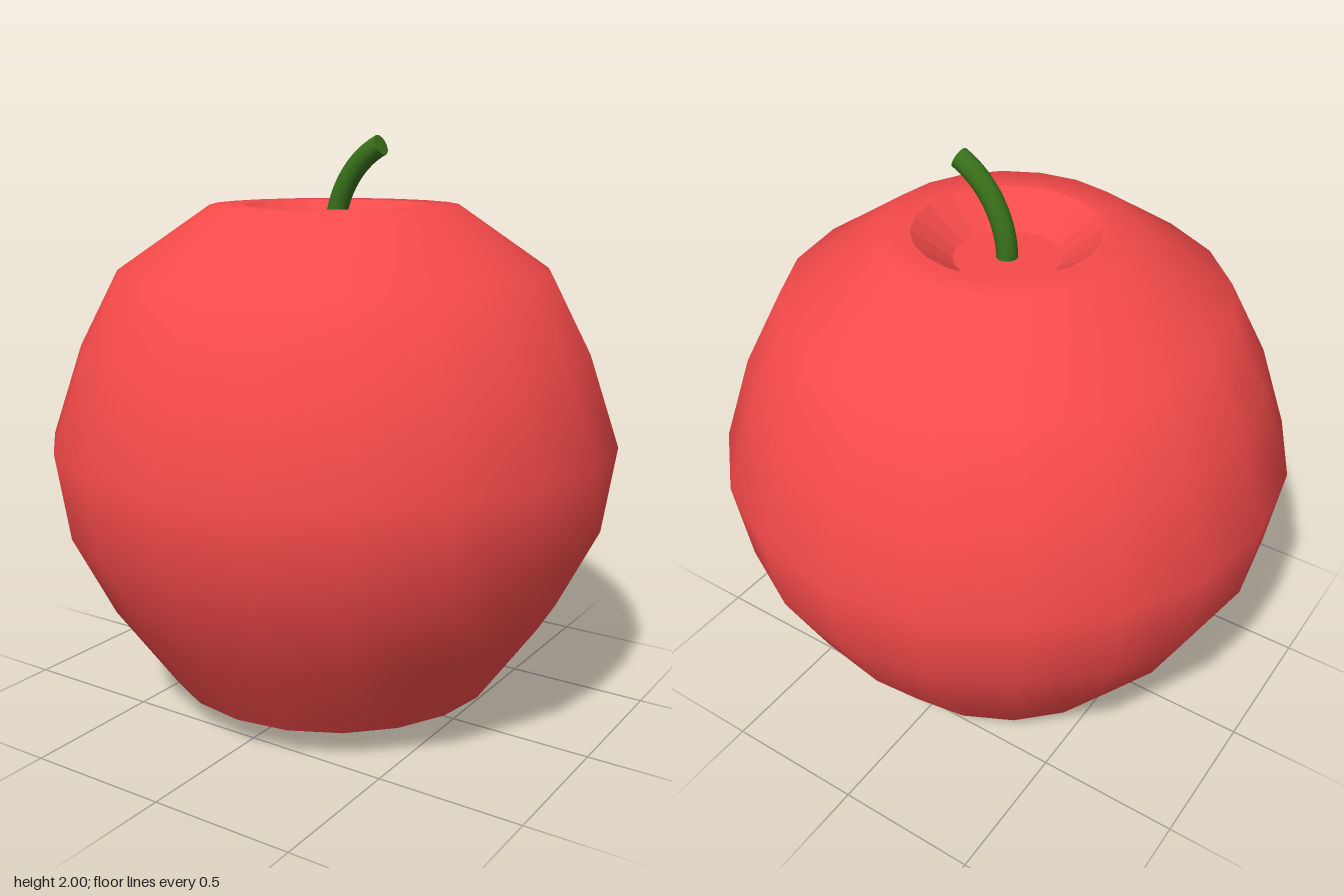
import * as THREE from 'three';

const SIDES = 20;

// Lathe from [radius, height] pairs, listed from the bottom up
function lathe(name, points, material, sides = SIDES) {
  const profile = points.map(([r, y]) => new THREE.Vector2(r, y));
  const mesh = new THREE.Mesh(new THREE.LatheGeometry(profile, sides), material);
  mesh.name = name;
  return mesh;
}

// Flat disc facing up or down
function disc(name, radius, y, up, material) {
  const mesh = new THREE.Mesh(new THREE.CircleGeometry(radius, 40), material);
  mesh.rotation.x = up ? -Math.PI / 2 : Math.PI / 2;
  mesh.position.y = y;
  mesh.name = name;
  return mesh;
}

export function createModel() {
  const model = new THREE.Group();
  model.name = 'apple';
  const skin = new THREE.MeshStandardMaterial({ color: 0xf64a4a });
  const facetedSkin = new THREE.MeshStandardMaterial({ color: 0xf64a4a, flatShading: true });
  const green = new THREE.MeshStandardMaterial({ color: 0x38701a });

  // Underside: flat foot and faceted bevel
  model.add(lathe('base', [[0.17, 0.005], [0.32, 0.01], [0.59, 0.105]], facetedSkin));
  model.add(disc('foot', 0.18, 0, false, skin));

  // Smooth outer skin up to the rim of the dimple
  model.add(lathe('body', [
    [0.59, 0.105], [0.8, 0.4], [0.94, 0.68], [0.985, 0.98],
    [0.88, 1.29], [0.745, 1.55], [0.425, 1.77], [0.31, 1.77],
  ], skin));

  // Dimple around the stem
  model.add(lathe('dimpleWall', [[0.31, 1.77], [0.17, 1.665]], facetedSkin));
  model.add(disc('dimpleFloor', 0.18, 1.67, true, skin));

  // Curved stem with a flat cut tip
  const radius = 0.036;
  const path = new THREE.CubicBezierCurve3(
    new THREE.Vector3(0, 1.66, 0),
    new THREE.Vector3(0, 1.79, 0),
    new THREE.Vector3(0.07, 1.915, 0),
    new THREE.Vector3(0.183, 1.968, 0),
  );
  const stem = new THREE.Group();
  stem.name = 'stem';
  const stalk = new THREE.Mesh(new THREE.TubeGeometry(path, 16, radius, 16), green);
  stalk.name = 'stalk';
  const tip = new THREE.Mesh(new THREE.CircleGeometry(radius, 16), green);
  tip.name = 'stemTip';
  tip.position.copy(path.getPoint(1));
  tip.quaternion.setFromUnitVectors(new THREE.Vector3(0, 0, 1), path.getTangent(1));
  stem.add(stalk, tip);
  model.add(stem);

  return model;
}
